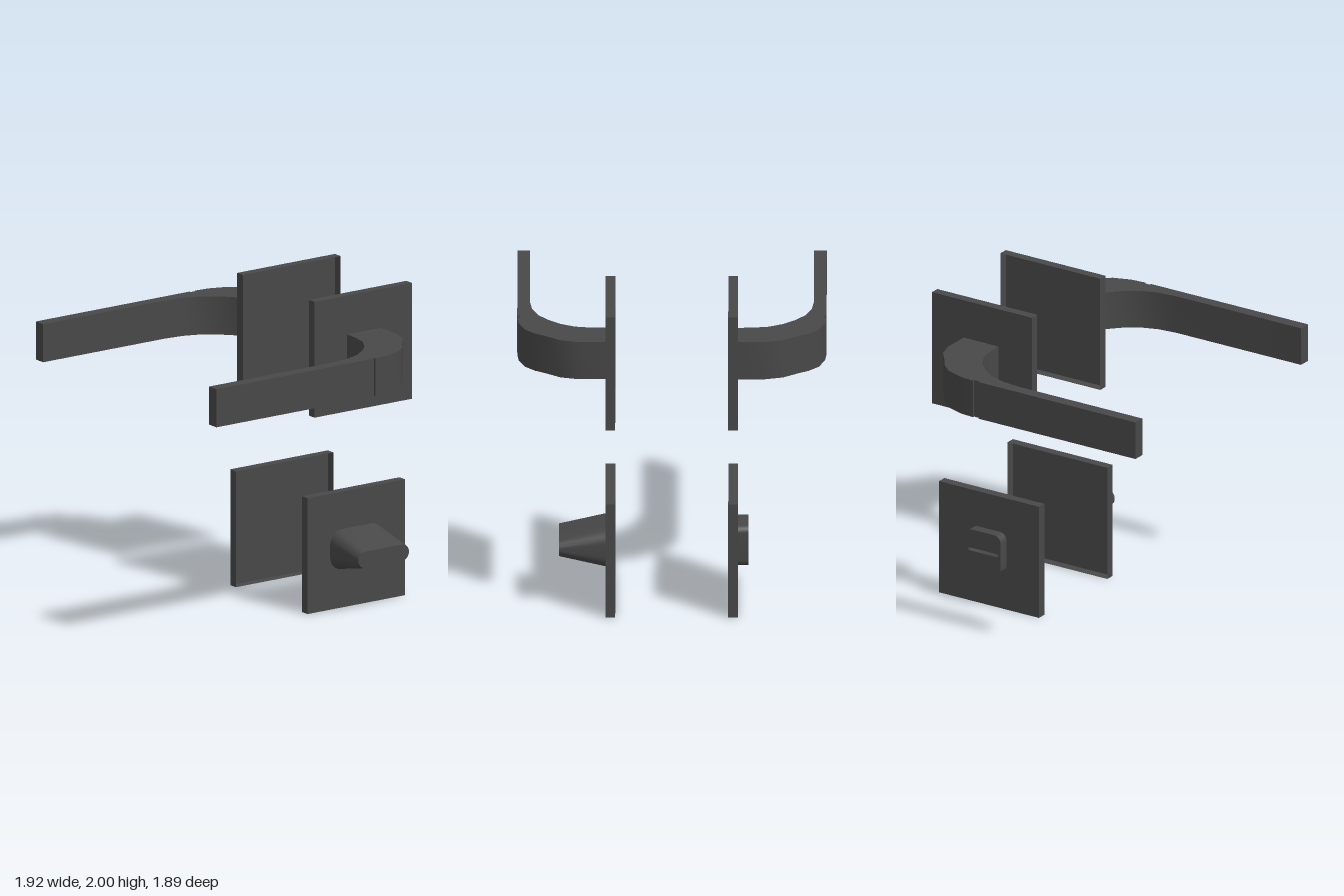
import * as THREE from 'three';
import { toCreasedNormals } from 'three/addons/utils/BufferGeometryUtils.js';

const PLATE = 0.745, BACK = 0.35, FACE = 0.41;
const material = new THREE.MeshStandardMaterial({ color: 0x484848, side: THREE.DoubleSide });

function addMesh(parent, name, geometry) {
  const mesh = new THREE.Mesh(geometry, material);
  mesh.name = name;
  parent.add(mesh);
  return mesh;
}

// Counterclockwise rounded rectangle around the origin
function roundedRect(w, h, r, steps = 8) {
  const points = [];
  for (let corner = 0; corner < 4; corner++) {
    const cx = (corner === 0 || corner === 3 ? 1 : -1) * (w / 2 - r);
    const cy = (corner < 2 ? 1 : -1) * (h / 2 - r);
    for (let i = 0; i <= steps; i++) {
      const a = (corner + i / steps) * Math.PI / 2;
      points.push(new THREE.Vector2(cx + r * Math.cos(a), cy + r * Math.sin(a)));
    }
  }
  return points;
}

// Thin square cover, open on the side that meets the door
function plateGeometry(side) {
  const geometry = new THREE.BoxGeometry(FACE - BACK, PLATE, PLATE);
  const index = Array.from(geometry.index.array);
  index.splice(side > 0 ? 6 : 0, 6);
  geometry.setIndex(index);
  geometry.clearGroups();
  return geometry;
}

// Plan outline (x, z) of the lever, extruded upwards
function leverGeometry(side) {
  const outline = [
    [0.41, -0.705], [0.58, -0.705], [0.69, -0.672], [0.777, -0.602], [0.852, -0.545 + 0.02],
    [0.91, -0.48], [0.949, -0.365], [0.957, -0.268],
    [0.945, -0.268], [0.945, -0.228], [0.958, -0.228], // groove
    [0.958, 0.945], [0.88, 0.945],
    [0.88, 0.02], [0.866, -0.11], [0.828, -0.22], [0.762, -0.31],
    [0.69, -0.378], [0.6, -0.427], [0.495, -0.445], [0.41, -0.447],
  ];
  outline[4] = [0.848, -0.552];
  const shape = new THREE.Shape(outline.map(([x, z]) => new THREE.Vector2(side * x, -z)));
  const geometry = new THREE.ExtrudeGeometry(shape, { depth: 0.245, bevelEnabled: false });
  geometry.rotateX(-Math.PI / 2);
  return toCreasedNormals(geometry, 0.7);
}

// Loft from a rounded base to a flatter stadium tip, along +x
function thumbTurnGeometry() {
  const length = 0.29;
  const base = roundedRect(0.4, 0.255, 0.085);
  const tip = roundedRect(0.385, 0.106, 0.0529);
  const n = base.length, positions = [], index = [];
  for (const p of base) positions.push(0, p.y, p.x);
  for (const p of tip) positions.push(length, p.y, p.x);
  positions.push(length, 0, 0);
  for (let i = 0; i < n; i++) {
    const j = (i + 1) % n;
    index.push(i, n + i, j, j, n + i, n + j, 2 * n, n + j, n + i);
  }
  const geometry = new THREE.BufferGeometry();
  geometry.setAttribute('position', new THREE.Float32BufferAttribute(positions, 3));
  geometry.setIndex(index);
  return toCreasedNormals(geometry, 0.7);
}

// Rounded square button with a narrow horizontal slot, pointing along -x
function releaseGeometry() {
  const shape = new THREE.Shape(roundedRect(0.26, 0.265, 0.045));
  shape.holes.push(new THREE.Path(roundedRect(0.22, 0.02, 0.004, 2)));
  const geometry = new THREE.ExtrudeGeometry(shape, { depth: 0.065, bevelEnabled: false });
  geometry.rotateY(-Math.PI / 2);
  return toCreasedNormals(geometry, 0.7);
}

export function createModel() {
  const model = new THREE.Group();
  model.name = 'doorHandleSet';

  for (const side of [1, -1]) {
    const half = new THREE.Group();
    half.name = side > 0 ? 'leftSide' : 'rightSide';
    model.add(half);

    const x = side * (BACK + FACE) / 2;
    addMesh(half, 'handlePlate', plateGeometry(side)).position.set(x, 1.6275, -0.57);
    addMesh(half, 'lockPlate', plateGeometry(side)).position.set(x, PLATE / 2, -0.517);
    addMesh(half, 'lever', leverGeometry(side)).position.y = 1.505;

    // Thumb turn on one side, slotted release on the other
    const lock = side > 0
      ? addMesh(half, 'thumbTurn', thumbTurnGeometry())
      : addMesh(half, 'emergencyRelease', releaseGeometry());
    lock.position.set(side * FACE, 0.377, -0.517);
  }
  return model;
}
